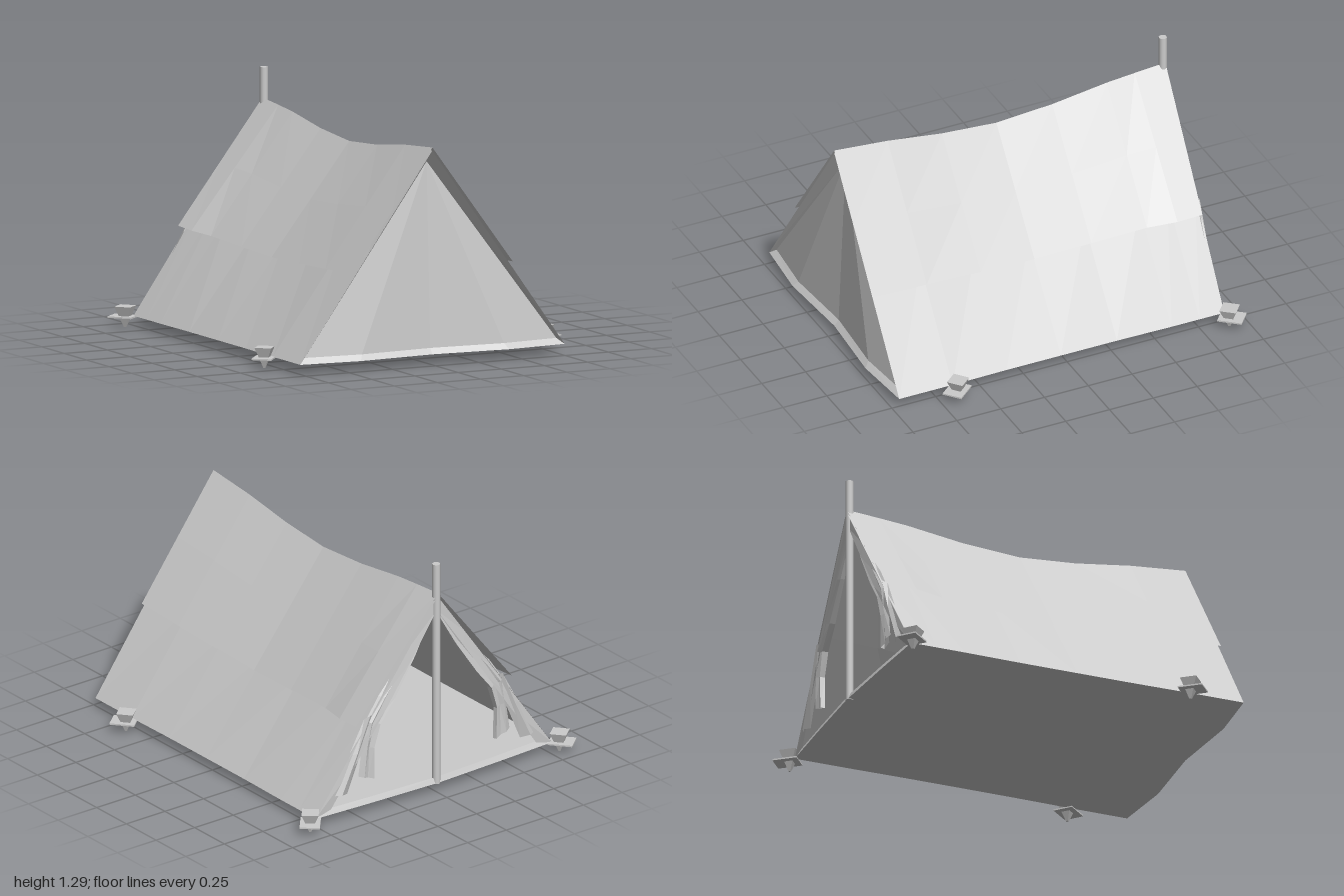
import * as THREE from 'three';

const cloth = new THREE.MeshStandardMaterial({ color: 0xcccccc, flatShading: true, side: THREE.DoubleSide });
const smooth = new THREE.MeshStandardMaterial({ color: 0xcccccc });
const { lerp } = THREE.MathUtils;

// Surface through rows of points; every row has the same number of points
function loft(rows) {
  const n = rows[0].length, index = [];
  for (let r = 0; r < rows.length - 1; r++)
    for (let c = 0; c < n - 1; c++) {
      const a = r * n + c, b = a + n;
      index.push(a, b, a + 1, a + 1, b, b + 1);
    }
  const g = new THREE.BufferGeometry();
  g.setAttribute('position', new THREE.Float32BufferAttribute(rows.flat(2), 3));
  g.setIndex(index);
  g.computeVertexNormals();
  return g;
}

function add(parent, name, geometry, material = cloth) {
  const mesh = new THREE.Mesh(geometry, material);
  mesh.name = name;
  parent.add(mesh);
  return mesh;
}

// Sagging ridge stations, front to back
const FLOOR = 0.055;
const stations = [
  { z: 0.965, ridge: 1.13, eave: 0.505, flyX: 0.465 },
  { z: 0.66, ridge: 1.103, eave: 0.49, flyX: 0.46 },
  { z: 0.35, ridge: 1.06, eave: 0.475, flyX: 0.453 },
  { z: 0.04, ridge: 1.037, eave: 0.465, flyX: 0.45 },
  { z: -0.28, ridge: 1.06, eave: 0.475, flyX: 0.458 },
  { z: -0.59, ridge: 1.103, eave: 0.49, flyX: 0.472 },
  { z: -0.75, ridge: 1.117, eave: 0.498, flyX: 0.503 },
  { z: -0.925, ridge: 1.13, eave: 0.505, flyX: 0.507 },
];
// The back edge leans slightly inward toward the ground
const backZ = (z, t) => (z < -0.9 ? z + 0.035 * t : z);

// Bowed end edges of the ground sheet as [x, z]
const frontEdge = [[-0.765, 0.965], [-0.43, 0.995], [0, 0.965], [0.43, 0.995], [0.765, 0.965]];
const backEdge = [[-0.765, -0.89], [-0.43, -0.908], [0, -0.925], [0.43, -0.908], [0.765, -0.89]];

function groundSheet(group) {
  const outline = [...frontEdge, [0.758, 0.04], ...[...backEdge].reverse(), [-0.758, 0.04]];
  const shape = new THREE.Shape(outline.map(([x, z]) => new THREE.Vector2(x, -z)));
  add(group, 'groundSheet', new THREE.ShapeGeometry(shape).rotateX(-Math.PI / 2).translate(0, FLOOR, 0));
  // Raised lips along both ends
  for (const [name, edge, dz] of [['frontLip', frontEdge, -0.025], ['backLip', backEdge, 0.012]])
    add(group, name, loft([
      edge.map(([x, z]) => [x, FLOOR, z]),
      edge.map(([x, z]) => [x * 0.955, 0.085, z + dz]),
    ]));
}

function frontWall(group) {
  const bottom = frontEdge.map(([x, z]) => [x * 0.955, 0.085, z - 0.025]);
  add(group, 'frontWall', loft([bottom, bottom.map(() => [0, 1.05, 0.9])]));
  // Hem between the wall and the roof edge
  for (const s of [-1, 1])
    add(group, 'frontHem', loft([
      [[0, 1.115, 0.96], [s * 0.765, FLOOR, 0.965]],
      [[0, 1.05, 0.9], [s * 0.73, 0.085, 0.94]],
    ]));
}

function roofSide(group, s) {
  // Main canvas, ridge to ground
  add(group, 'roofCanvas', loft(stations.map(({ z, ridge }) => [0, 0.5, 1].map(t => [
    s * t * (Math.abs(z) > 0.5 ? 0.765 : 0.76),
    lerp(ridge - 0.015, FLOOR, t),
    backZ(z, t),
  ]))));
  // Overlapping upper cover
  add(group, 'roofCover', loft(stations.map(({ z, ridge, eave, flyX }) => [0, 0.5, 1].map(t => [
    s * t * flyX, lerp(ridge, eave, t), backZ(z, t),
  ]))));
}

function entrance(group, s) {
  // Narrow fixed panel beside the opening
  add(group, 'entrancePanel', loft([0, 0.25, 0.5, 0.75, 1].map(t => {
    const z = lerp(-0.915, -0.888, t);
    return [
      [s * 0.765 * t, lerp(1.115, FLOOR, t), z],
      [s * 0.665 * t, lerp(1.03, 0.08, t), z - 0.012 * Math.sin(t * Math.PI)],
    ];
  })));
  // Gathered door flap: tied back, with its tail hanging: [x, y, half width, half depth]
  const path = [
    [0.01, 1.03, 0.008, 0.006],
    [0.16, 0.81, 0.03, 0.014],
    [0.31, 0.62, 0.05, 0.02],
    [0.4, 0.5, 0.045, 0.022],
    [0.43, 0.37, 0.035, 0.018],
    [0.44, 0.2, 0.05, 0.015],
  ];
  const section = [[1, 0], [0.4, -1], [-0.2, -0.3], [-0.9, -0.9], [-1, 0.6], [0, 1], [1, 0]];
  add(group, 'doorFlap', loft(path.map(([x, y, w, d]) =>
    section.map(([u, v]) => [s * (x + u * w), y + u * w * 0.35, -0.89 + v * d]))));
  // Lower fold running down to the corner
  add(group, 'doorFold', loft([
    [[0.38, 0.55], [0.43, 0.55], [0.45, 0.53]],
    [[0.47, 0.35], [0.51, 0.36], [0.55, 0.35]],
    [[0.56, 0.14], [0.61, 0.15], [0.65, 0.15]],
  ].map(row => row.map(([x, y], i) => [s * x, y, i === 1 ? -0.912 : -0.888]))));
}

function stake(group, s, front) {
  const f = front ? 1 : -1;
  const g = new THREE.Group();
  g.name = 'stake';
  g.position.set(s * 0.808, 0, front ? 0.65 : -0.9);
  g.rotation.y = -s * f * 0.87;
  // Ground tab
  add(g, 'stakeTab', new THREE.BoxGeometry(0.13, 0.008, 0.105).translate(0.012, 0.053, 0));
  // Square tapered peg with its wider head
  const head = new THREE.CylinderGeometry(0.062, 0.036, 0.05, 4).rotateY(Math.PI / 4).translate(0, 0.083, 0);
  const spike = new THREE.CylinderGeometry(0.036, 0.008, 0.058, 4).rotateY(Math.PI / 4).translate(0, 0.029, 0);
  add(g, 'stakeHead', head);
  add(g, 'stakeSpike', spike);
  // Keep the tab pointing away from the tent on the right-hand side
  if (s < 0) g.rotation.y += Math.PI;
  group.add(g);
}

export function createModel() {
  const group = new THREE.Group();
  group.name = 'tent';
  groundSheet(group);
  frontWall(group);
  for (const s of [-1, 1]) {
    roofSide(group, s);
    entrance(group, s);
    stake(group, s, true);
    stake(group, s, false);
  }
  // Entrance pole
  add(group, 'pole', new THREE.CylinderGeometry(0.021, 0.021, 1.24, 12).translate(0, 0.672, -0.91), smooth);
  return group;
}
